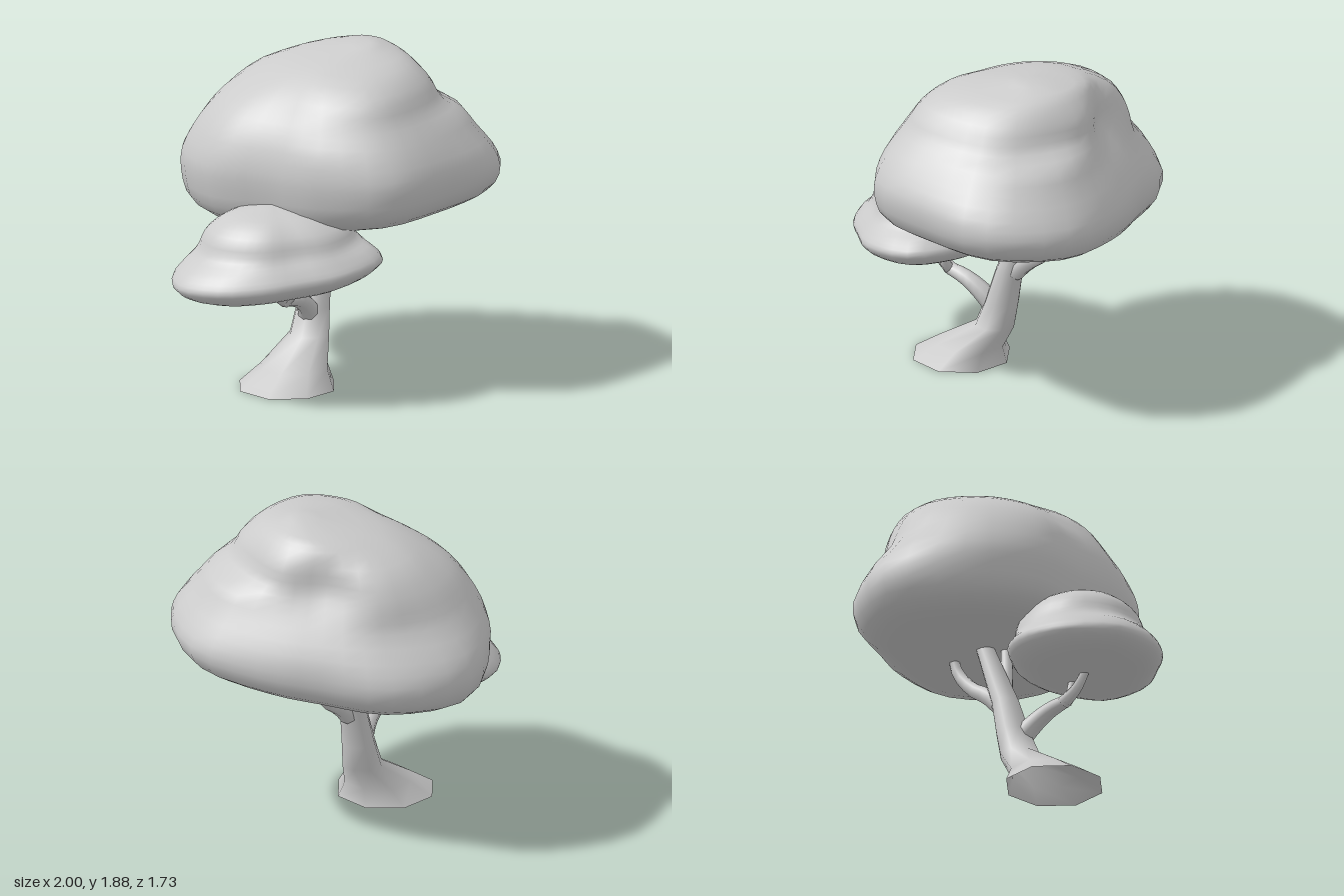
import * as THREE from 'three';
import { mergeVertices } from 'three/addons/utils/BufferGeometryUtils.js';

const material = new THREE.MeshStandardMaterial({ color: 0xcccccc, side: THREE.DoubleSide });
const V = (x, y, z) => new THREE.Vector3(x, y, z);

function addMesh(parent, name, geometry) {
  const mesh = new THREE.Mesh(geometry, material);
  mesh.name = name;
  parent.add(mesh);
}

// Skins a stack of closed rings (bottom to top) with smooth normals.
function skin(rows) {
  const cols = rows[0].length;
  const index = [];
  for (let i = 0; i < rows.length - 1; i++) {
    for (let j = 0; j < cols; j++) {
      const a = i * cols + j, b = i * cols + (j + 1) % cols;
      index.push(a, a + cols, b, b, a + cols, b + cols);
    }
  }
  let geometry = new THREE.BufferGeometry().setFromPoints(rows.flat());
  geometry.setIndex(index);
  geometry = mergeVertices(geometry, 1e-5);
  geometry.computeVertexNormals();
  return geometry;
}

// Foliage: rings of [y, centre x, centre z, radii by 30 degrees], splined both ways.
function foliage(rings, tilt, cols = 36, steps = 26) {
  const loops = rings.map(([y, cx, cz, radii]) => {
    const points = radii.map((r, k) => {
      const a = k * Math.PI / 6;
      const x = cx + r * Math.cos(a), z = cz + r * Math.sin(a);
      return V(x, y + tilt(x, y, z), z);
    });
    const curve = new THREE.CatmullRomCurve3(points, true, 'catmullrom', 0.5);
    return Array.from({ length: cols }, (_, j) =>
      radii[0] === 0 ? points[0].clone() : curve.getPoint(j / cols));
  });
  const columns = Array.from({ length: cols }, (_, j) =>
    new THREE.CatmullRomCurve3(loops.map((loop) => loop[j])).getPoints(steps));
  return skin(Array.from({ length: steps + 1 }, (_, i) => columns.map((c) => c[i])));
}

// Branch: a tube along a path, narrowed from r0 to r1.
function branch(points, r0, r1) {
  const path = new THREE.CatmullRomCurve3(points.map((p) => V(...p)));
  const rows = 8, sides = 8;
  const geometry = new THREE.TubeGeometry(path, rows, 1, sides, false);
  const pos = geometry.attributes.position, v = V(0, 0, 0);
  for (let i = 0; i < pos.count; i++) {
    const u = Math.floor(i / (sides + 1)) / rows;
    const centre = path.getPointAt(u);
    v.fromBufferAttribute(pos, i).sub(centre).multiplyScalar(r0 + (r1 - r0) * u).add(centre);
    pos.setXYZ(i, v.x, v.y, v.z);
  }
  return geometry;
}

export function createModel() {
  const tree = new THREE.Group();
  tree.name = 'tree';
  const zero = new Array(12).fill(0);
  const scaled = (radii, s) => radii.map((r) => r * s);

  // Large crown: broad lower mass, lowest at the back right, with a smaller lobe above
  const wide = [.89, .94, .84, .86, .71, .63, .76, .86, .95, .84, .7, .74];
  addMesh(tree, 'largeCrown', foliage([
    [.96, .1, 0, zero],
    [.945, .1, 0, scaled(wide, .45)],
    [.945, .1, 0, scaled(wide, .78)],
    [1.03, .1, 0, scaled(wide, .95)],
    [1.15, .1, 0, wide],
    [1.27, .1, 0, [.84, .91, .84, .86, .72, .64, .77, .86, .91, .78, .68, .71]],
    [1.41, .1, 0, [.75, .81, .77, .8, .69, .61, .72, .79, .78, .67, .59, .63]],
    [1.52, .1, 0, [.68, .72, .69, .72, .63, .56, .65, .71, .71, .64, .5, .56]],
    [1.6, .1, 0, [.54, .61, .62, .66, .58, .5, .57, .63, .65, .61, .45, .52]],
    [1.7, .1, 0, [.5, .55, .56, .6, .5, .41, .43, .48, .54, .54, .44, .5]],
    [1.79, .1, 0, [.44, .45, .45, .44, .35, .26, .25, .28, .34, .39, .41, .44]],
    [1.845, .24, -.03, [.22, .22, .22, .22, .2, .17, .15, .16, .18, .22, .25, .24]],
    [1.885, .31, .03, zero],
  ], (x, y, z) => .09 * Math.max(0, 1.7 - y) * z + .12 * Math.max(0, 1.4 - y) * x));

  // Small crown: sloping down toward the model's right, with a ledge round its top lobe
  const small = [.55, .63, .53, .43, .44, .5, .57, .55, .5, .46, .43, .48];
  const lobe = [.48, .48, .42, .33, .34, .36, .4, .42, .41, .4, .39, .43];
  addMesh(tree, 'smallCrown', foliage([
    [.65, -.43, .36, zero],
    [.635, -.43, .36, scaled(small, .62)],
    [.68, -.43, .36, scaled(small, .88)],
    [.75, -.43, .36, small],
    [.82, -.43, .36, scaled(small, .91)],
    [.89, -.43, .36, lobe],
    [.98, -.43, .36, scaled(lobe, .88)],
    [1.06, -.43, .36, scaled(lobe, .58)],
    [1.11, -.42, .34, zero],
  ], (x, y) => .12 * (x + .43) * Math.min(1, (1.11 - y) / .3)));

  // Leaning trunk with a flared, open foot: [y, centre x, centre z, radius]
  const sides = 8;
  const trunkRings = [
    [0, -.28, .225, .285], [.1, -.22, .19, .2], [.25, -.085, .09, .118],
    [.4, -.05, .06, .1], [.6, -.01, .03, .082], [.95, .09, -.05, .056], [1.1, .13, -.08, .045],
  ];
  addMesh(tree, 'trunk', skin(trunkRings.map(([y, cx, cz, r]) =>
    Array.from({ length: sides }, (_, j) => {
      const a = j / sides * Math.PI * 2;
      return V(cx + r * Math.cos(a), y, cz + r * Math.sin(a));
    }))));

  // Branches: path, start radius, end radius
  const branches = {
    leftBranch: [[[.03, .6, .01], [.09, .67, -.03], [.19, .75, -.09], [.28, .88, -.15], [.31, 1.04, -.18]], .055, .025],
    upperFork: [[[.01, .68, .04], [.05, .84, .06], [.1, 1.04, .07]], .04, .03],
    rightBranch: [[[-.08, .34, .08], [-.13, .43, .15], [-.21, .495, .22], [-.33, .52, .29]], .065, .035],
    rightOuterTwig: [[[-.3, .51, .27], [-.38, .57, .32], [-.45, .7, .37]], .04, .02],
    rightInnerTwig: [[[-.32, .51, .28], [-.28, .57, .32], [-.27, .7, .34]], .035, .02],
  };
  for (const [name, args] of Object.entries(branches)) addMesh(tree, name, branch(...args));

  return tree;
}
